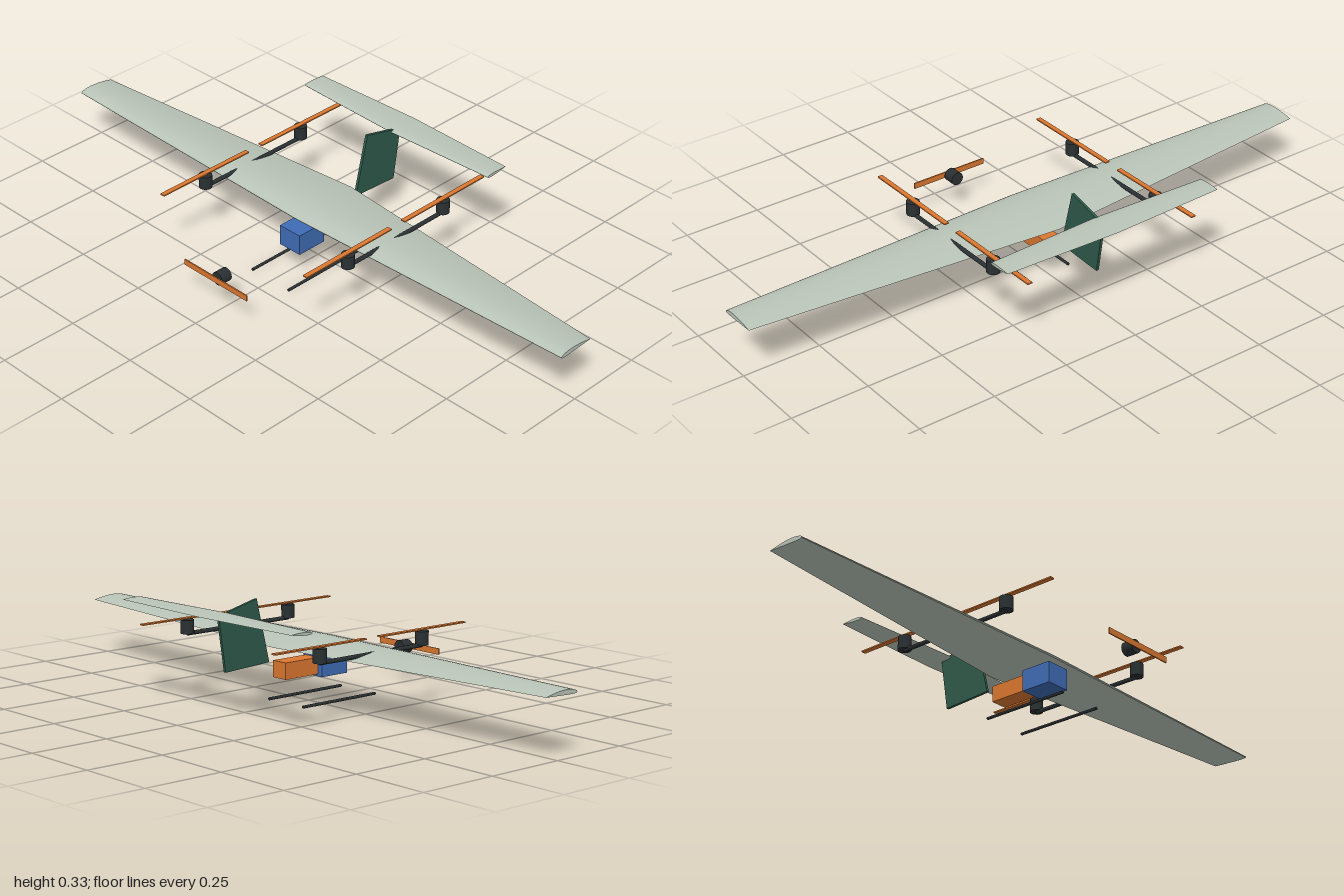
import * as THREE from 'three';
import { toCreasedNormals } from 'three/addons/utils/BufferGeometryUtils.js';

const mat = (color) => new THREE.MeshStandardMaterial({ color });

// Closed cambered section: trailing edge, over the top to the nose, back underneath
function airfoil(thickness, camber, n = 16) {
  const pts = [];
  for (let i = 0; i < 2 * n; i++) {
    const x = 0.5 * (1 + Math.cos((Math.PI * i) / n));
    const half = 5 * thickness * (0.2969 * Math.sqrt(x) - 0.126 * x
      - 0.3516 * x ** 2 + 0.2843 * x ** 3 - 0.1036 * x ** 4);
    const p = 0.4;
    const mid = x < p
      ? (camber / p ** 2) * (2 * p * x - x * x)
      : (camber / (1 - p) ** 2) * (1 - 2 * p + 2 * p * x - x * x);
    pts.push([x, mid + (i <= n ? half : -half)]);
  }
  return pts;
}

// Loft a section through stations { z, lead, trail, y, rise }, capped at both tips
function loft(profile, stations) {
  const n = profile.length, pos = [], idx = [];
  for (const s of stations) {
    const chord = s.trail - s.lead;
    for (const [x, y] of profile) {
      pos.push(s.lead + x * chord, s.y + y * chord + x * (s.rise || 0), s.z);
    }
  }
  const last = (stations.length - 1) * n;
  for (let j = 0; j < last; j += n) {
    for (let i = 0; i < n; i++) {
      const a = j + i, b = j + ((i + 1) % n);
      idx.push(a, b, b + n, a, b + n, a + n);
    }
  }
  for (let k = 1; k < n - 1; k++) {
    idx.push(0, k + 1, k, last, last + k, last + k + 1);
  }
  const g = new THREE.BufferGeometry();
  g.setAttribute('position', new THREE.Float32BufferAttribute(pos, 3));
  g.setIndex(idx);
  return toCreasedNormals(g, 0.6);
}

export function createModel() {
  const model = new THREE.Group();
  const skin = mat(0xb9c4b8), green = mat(0x2f5a4a), dark = mat(0x2a3032);
  const orange = mat(0xdb7730), blue = mat(0x3f6cb5);

  const add = (name, geometry, material, x = 0, y = 0, z = 0) => {
    const mesh = new THREE.Mesh(geometry, material);
    mesh.name = name;
    mesh.position.set(x, y, z);
    model.add(mesh);
    return mesh;
  };
  const box = (w, h, d) => new THREE.BoxGeometry(w, h, d);
  const rodX = (r, length) => new THREE.CylinderGeometry(r, r, length, 20).rotateZ(Math.PI / 2);

  // Main wing, tapering from the middle to both tips
  const wingTip = { lead: -0.073, trail: 0.05, y: 0.179 };
  add('wing', loft(airfoil(0.12, 0.03), [
    { ...wingTip, z: -1 },
    { z: 0, lead: -0.1, trail: 0.14, y: 0.178 },
    { ...wingTip, z: 1 },
  ]), skin);

  // Tailplane, tilted slightly up towards its trailing edge
  const tailTip = { lead: 0.323, trail: 0.402, y: 0.299, rise: 0.003 };
  add('tailplane', loft(airfoil(0.12, 0), [
    { ...tailTip, z: -0.38 },
    { z: 0, lead: 0.308, trail: 0.415, y: 0.299, rise: 0.003 },
    { ...tailTip, z: 0.38 },
  ]), skin);

  // Swept fin plate
  const finShape = new THREE.Shape([
    [0.158, 0.138], [0.323, 0.129], [0.348, 0.297], [0.205, 0.332],
  ].map(([x, y]) => new THREE.Vector2(x, y)));
  add('fin', new THREE.ExtrudeGeometry(finShape, { depth: 0.009, bevelEnabled: false }),
    green, 0, 0, -0.0045);

  // Payload boxes under the wing
  add('batteryBox', box(0.102, 0.067, 0.082), blue, -0.067, 0.1075, 0);
  add('payloadBox', box(0.128, 0.051, 0.056), orange, 0.051, 0.1075, 0);

  // Booms with two lift rotors each, and landing skids
  for (const [side, s] of [['left', 1], ['right', -1]]) {
    const z = s * 0.298;
    add(side + 'Boom', rodX(0.0065, 0.4), dark, 0.022, 0.1885, z);
    for (const [end, x] of [['Nose', -0.178], ['Tail', 0.222]]) {
      add(side + end + 'LiftMotor', new THREE.CylinderGeometry(0.0205, 0.0205, 0.042, 20),
        dark, x, 0.21, z);
      add(side + end + 'LiftRotor', box(0.345, 0.004, 0.016), orange, x, 0.236, z);
    }
    add(side + 'Skid', rodX(0.0045, 0.29), dark, -0.055, 0.0045, s * 0.076);
  }

  // Cruise motor and propeller at the nose
  add('cruiseMotor', rodX(0.0213, 0.038), dark, -0.392, 0.112, 0);
  add('cruisePropeller', box(0.004, 0.019, 0.262), orange, -0.417, 0.112, 0);

  return model;
}
